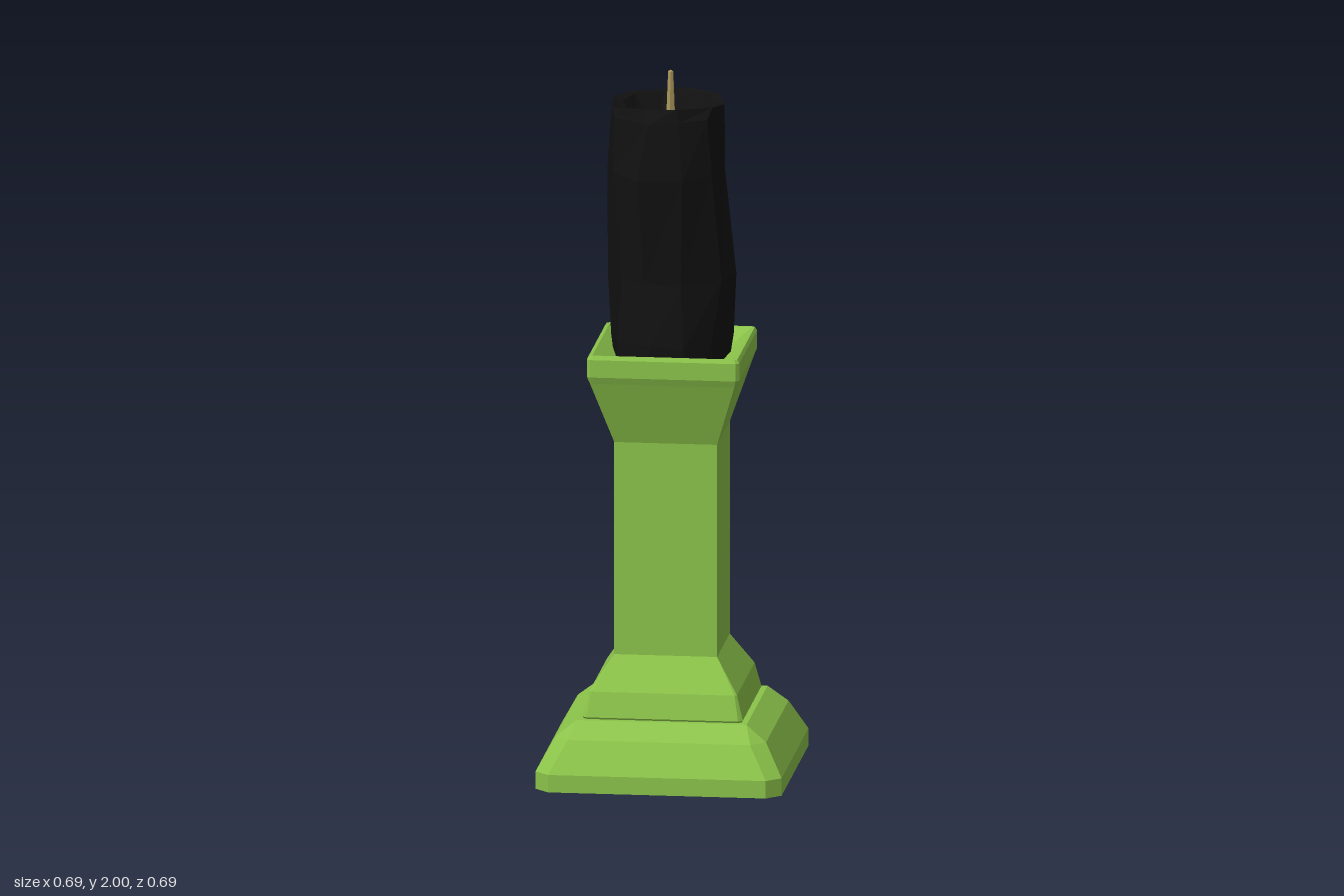
import * as THREE from 'three';

// Skin a stack of equal-length point rings, closing the first and last ring
function loft(rings) {
  const pos = [];
  const tri = (...pts) => pts.forEach((p) => pos.push(p.x, p.y, p.z));
  const centre = (ring) => ring.reduce((s, p) => s.add(p), new THREE.Vector3()).divideScalar(ring.length);
  const n = rings[0].length;
  const first = rings[0], last = rings[rings.length - 1];
  const c0 = centre(first), c1 = centre(last);
  for (let j = 0; j < n; j++) {
    const k = (j + 1) % n;
    tri(c0, first[k], first[j]);
    for (let i = 0; i < rings.length - 1; i++) {
      const a = rings[i], b = rings[i + 1];
      tri(a[j], a[k], b[k]);
      tri(a[j], b[k], b[j]);
    }
    tri(c1, last[j], last[k]);
  }
  const geo = new THREE.BufferGeometry();
  geo.setAttribute('position', new THREE.Float32BufferAttribute(pos, 3));
  geo.computeVertexNormals();
  return geo;
}

// Square ring with cut corners: half width h, height y, corner cut c
function squareRing([h, y, c]) {
  const d = h - c;
  return [[h, d], [h, -d], [d, -h], [-d, -h], [-h, -d], [-h, d], [-d, h], [d, h]]
    .map(([x, z]) => new THREE.Vector3(x, y, z));
}

// Uneven round ring spanning x0..x1 and z0..z1
function waxRing([y, x0, x1, z0, z1], row) {
  const sides = 10;
  return Array.from({ length: sides }, (_, j) => {
    const a = ((j + 0.15 * Math.sin(row * 2.1 + j * 1.7)) / sides) * Math.PI * 2;
    const r = 1 + 0.025 * Math.sin(j * 2.4 + row * 1.3);
    return new THREE.Vector3(
      (x0 + x1) / 2 + (Math.cos(a) * r * (x1 - x0)) / 2,
      y + 0.006 * Math.sin(j * 1.9 + row),
      (z0 + z1) / 2 - (Math.sin(a) * r * (z1 - z0)) / 2
    );
  });
}

export function createModel() {
  const group = new THREE.Group();
  const add = (name, geometry, color) => {
    const mesh = new THREE.Mesh(geometry, new THREE.MeshStandardMaterial({ color, flatShading: true }));
    mesh.name = name;
    group.add(mesh);
    return mesh;
  };
  const green = 0x8bc34a;

  // Stepped foot with a shallow hollow underneath
  add('foot', loft([
    [0.215, 0.05, 0.02], [0.25, 0, 0.02], [0.347, 0, 0.04], [0.347, 0.05, 0.04],
    [0.297, 0.14, 0.04], [0.24, 0.185, 0], [0.2, 0.185, 0],
  ].map(squareRing)), green);

  // Second step, square shaft and flared cup with a sloped hollow
  add('column', loft([
    [0.22, 0.18, 0.012], [0.226, 0.19, 0.012], [0.208, 0.26, 0.006], [0.145, 0.355, 0],
    [0.145, 0.965, 0], [0.207, 1.145, 0.006], [0.215, 1.165, 0.01], [0.215, 1.215, 0.01],
    [0.209, 1.225, 0.008], [0.2, 1.225, 0.004], [0.13, 1.17, 0],
  ].map(squareRing)), green);

  // Crooked candle, its top sunk inside the rim
  add('candle', loft([
    [1.17, -0.165, 0.16, -0.19, 0.165],
    [1.24, -0.173, 0.167, -0.195, 0.168],
    [1.42, -0.178, 0.18, -0.172, 0.147],
    [1.72, -0.184, 0.15, -0.204, 0.165],
    [1.88, -0.18, 0.148, -0.188, 0.137],
    [1.913, -0.168, 0.145, -0.178, 0.122],
    [1.908, -0.14, 0.12, -0.155, 0.1],
    [1.86, -0.1, 0.085, -0.115, 0.06],
  ].map(waxRing)), 0x111111);

  // Wick
  const wick = add('wick', new THREE.CylinderGeometry(0.008, 0.014, 0.14, 6), 0xa8955a);
  wick.position.set(-0.007, 1.925, -0.027);
  const tip = add('wickTip', new THREE.ConeGeometry(0.008, 0.006, 6), 0xa8955a);
  tip.position.set(-0.007, 1.997, -0.027);

  return group;
}
